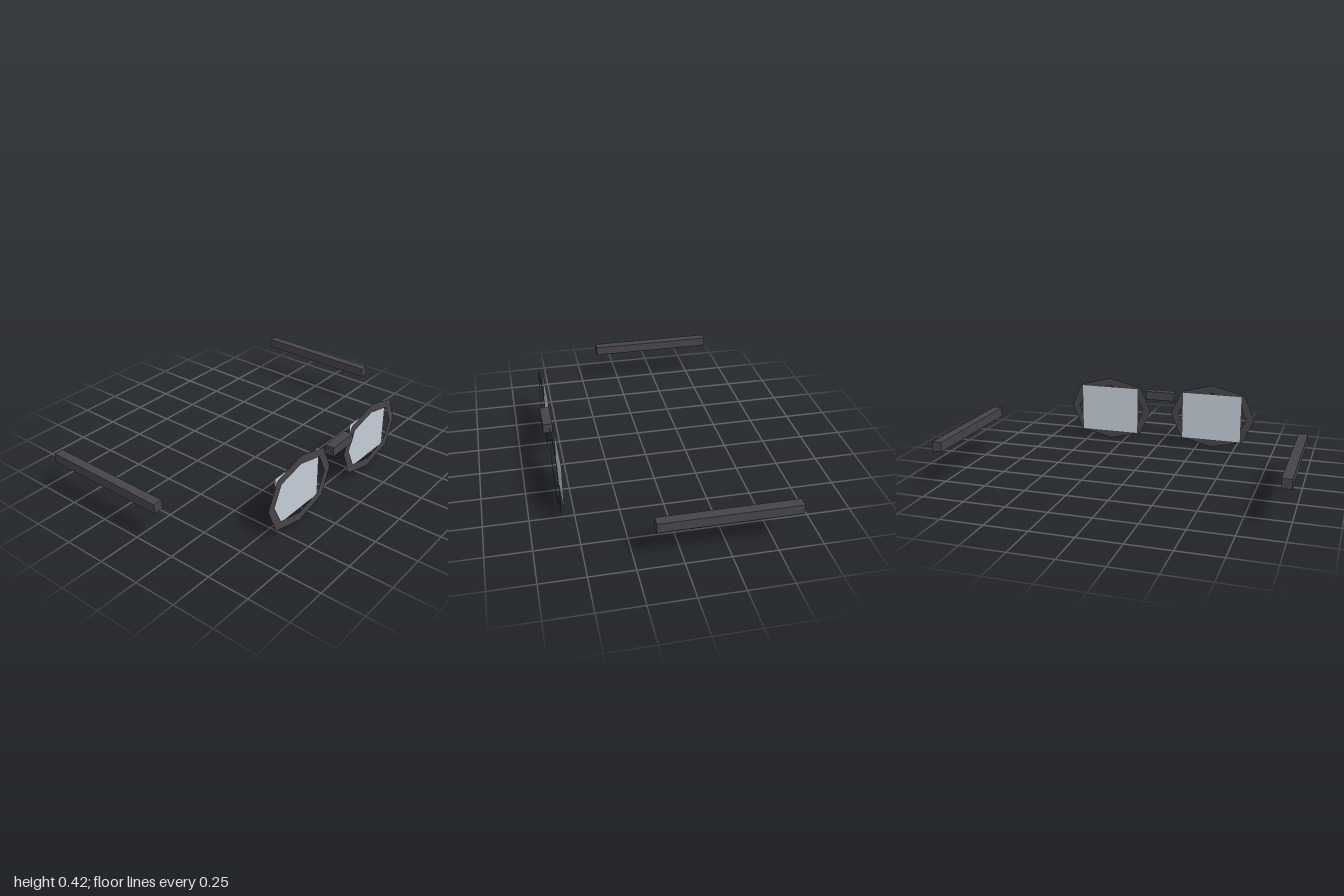
import * as THREE from 'three';

const dark = new THREE.MeshStandardMaterial({ color: 0x47454a, flatShading: true, side: THREE.DoubleSide });
const glass = new THREE.MeshStandardMaterial({ color: 0xc4ced8, flatShading: true, side: THREE.DoubleSide });

function add(parent, name, geometry, material, x, y, z) {
  const mesh = new THREE.Mesh(geometry, material);
  mesh.name = name;
  mesh.position.set(x, y, z);
  parent.add(mesh);
  return mesh;
}

// Eight-cornered oval whose diagonal corners bulge slightly
function octagon(rx, ry) {
  const points = [];
  for (let i = 0; i < 8; i++) {
    const a = (i * Math.PI) / 4;
    const k = i % 2 ? 1.06 : 1;
    points.push(new THREE.Vector2(rx * k * Math.cos(a), ry * k * Math.sin(a)));
  }
  return points;
}

export function createModel() {
  const glasses = new THREE.Group();
  glasses.name = 'glasses';

  // Flat rim with an octagonal opening
  const rimShape = new THREE.Shape(octagon(0.277, 0.208));
  rimShape.holes.push(new THREE.Path(octagon(0.225, 0.155)));
  const rimGeometry = new THREE.ShapeGeometry(rimShape);
  const lensGeometry = new THREE.PlaneGeometry(0.39, 0.31);
  const templeGeometry = new THREE.BoxGeometry(0.055, 0.055, 0.765);

  for (const [side, s] of [['left', 1], ['right', -1]]) {
    add(glasses, side + 'Rim', rimGeometry, dark, s * 0.347, 0.208, 0.58);
    // Lens sits just behind the rim
    add(glasses, side + 'Lens', lensGeometry, glass, s * 0.347, 0.208, 0.558);
    add(glasses, side + 'Temple', templeGeometry, dark, s * 0.9725, 0.25, -0.2325);
  }

  // Nose bridge
  add(glasses, 'bridge', new THREE.BoxGeometry(0.19, 0.055, 0.055), dark, 0, 0.322, 0.587);
  return glasses;
}
